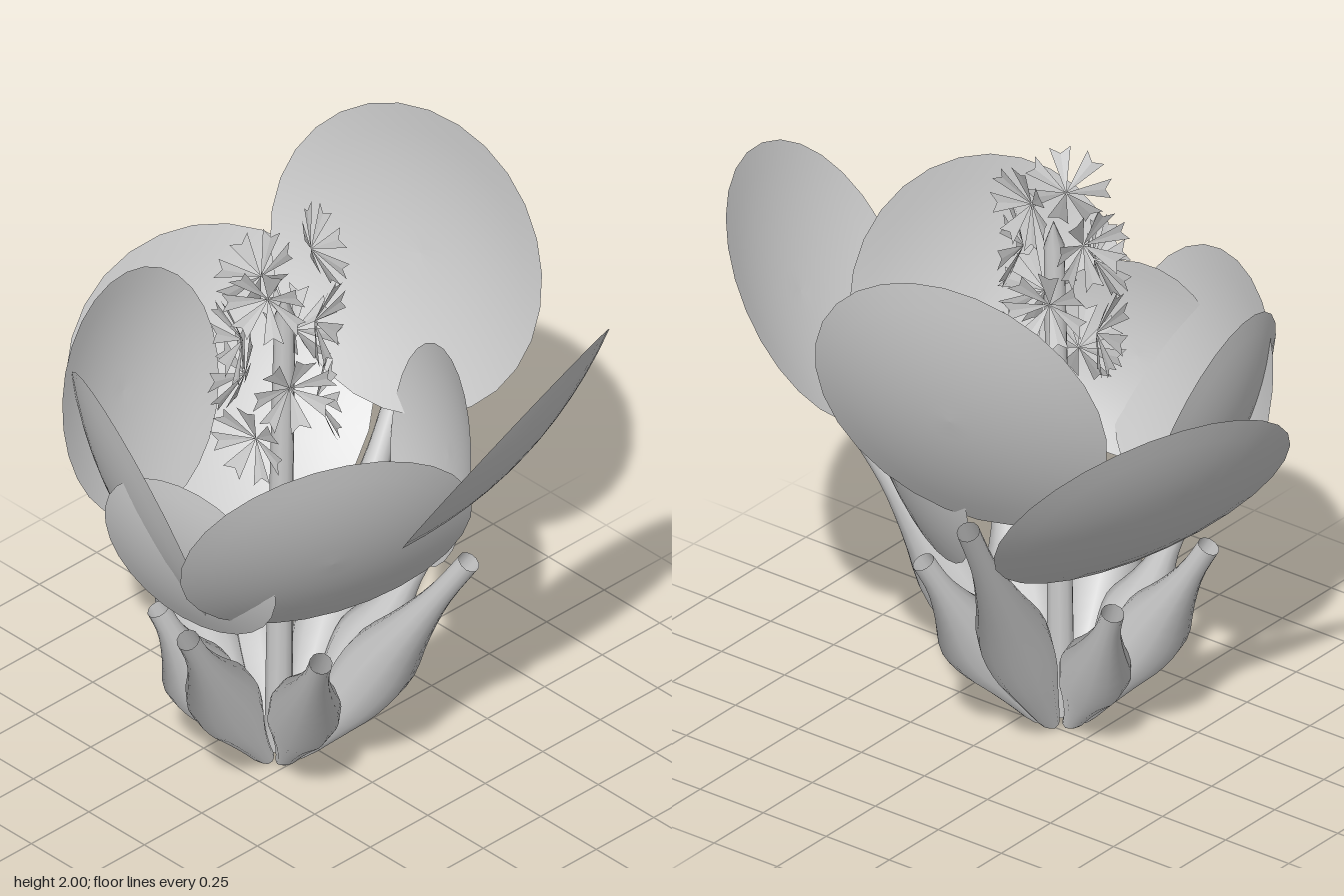
import * as THREE from 'three';

const V = (x, y, z) => new THREE.Vector3(x, y, z);
const CX = -0.09, CZ = 0.08; // plant axis

// Tube along a curve whose rings are resized by a radius rule
function taperedTube(curve, rings, sides, radiusAt) {
  const geo = new THREE.TubeGeometry(curve, rings, 1, sides, false);
  const pos = geo.attributes.position;
  const p = V(0, 0, 0);
  for (let i = 0; i <= rings; i++) {
    const t = i / rings;
    const c = curve.getPointAt(t);
    for (let j = 0; j <= sides; j++) {
      const k = i * (sides + 1) + j;
      p.fromBufferAttribute(pos, k).sub(c).multiplyScalar(radiusAt(t)).add(c);
      pos.setXYZ(k, p.x, Math.max(0, p.y), p.z);
    }
  }
  return geo;
}

// Bulb-shaped radius along a leaf stalk
const bulb = new THREE.SplineCurve(
  [[0, 0.03], [0.14, 0.048], [0.28, 0.075], [0.42, 0.106], [0.56, 0.113], [0.7, 0.072], [0.85, 0.042], [1, 0.037]]
    .map(([t, r]) => new THREE.Vector2(t, r))
);

// Shallow round bowl opening along +y, rim at y = 0
function bowlGeometry(radius) {
  const depth = 0.17 * radius;
  const profile = [];
  for (let i = 0; i <= 6; i++) {
    const f = i / 6;
    profile.push(new THREE.Vector2(radius * f, depth * (f * f - 1)));
  }
  return new THREE.LatheGeometry(profile, 28);
}

// One floret: seven swallow-tailed petals flaring into a funnel along +z
function floretGeometry() {
  const pts = [];
  const petals = 7;
  for (let i = 0; i < petals; i++) {
    const at = (r, da, z) => {
      const a = (i / petals) * Math.PI * 2 + da;
      return [Math.sin(a) * r, Math.cos(a) * r, z];
    };
    const base = [0, 0, 0];
    const left = at(0.14, -0.25, 0.055);
    const notch = at(0.118, 0, 0.045);
    const right = at(0.14, 0.25, 0.055);
    pts.push(...base, ...notch, ...left, ...base, ...right, ...notch);
  }
  const geo = new THREE.BufferGeometry();
  geo.setAttribute('position', new THREE.Float32BufferAttribute(pts, 3));
  geo.computeVertexNormals();
  return geo;
}

export function createModel() {
  const model = new THREE.Group();
  model.name = 'plant';
  const grey = new THREE.MeshStandardMaterial({ color: 0xcccccc, side: THREE.DoubleSide });
  grey.name = 'light grey';

  const add = (parent, name, geo) => {
    const mesh = new THREE.Mesh(geo, grey);
    mesh.name = name;
    parent.add(mesh);
    return mesh;
  };

  // Round cupped leaves: rim centre, facing direction, radius
  const leaves = new THREE.Group();
  leaves.name = 'leaves';
  model.add(leaves);
  [
    [V(-0.235, 1.455, -0.615), V(0.2, 0.28, 0.94), 0.505],
    [V(0.645, 1.415, -0.2), V(-0.8, 0.55, 0.24), 0.474],
    [V(0.41, 1.17, 0.355), V(-0.81, 0.43, -0.4), 0.476],
    [V(-0.29, 1.065, 0.495), V(0.36, 0.33, -0.87), 0.44],
    [V(-0.597, 1.155, 0.19), V(0.945, 0.27, -0.18), 0.397],
    [V(-0.59, 1.025, -0.15), V(0.74, 0.6, 0.31), 0.505],
    [V(0.015, 1.02, 0.565), V(-0.2, 0.22, -0.95), 0.32],
    [V(0.14, 1.02, -0.36), V(-0.43, 0.2, 0.87), 0.352],
  ].forEach(([centre, facing, radius]) => {
    const leaf = add(leaves, 'leaf', bowlGeometry(radius));
    leaf.position.copy(centre);
    leaf.quaternion.setFromUnitVectors(V(0, 1, 0), facing.normalize());
  });

  // Swollen leaf stalks fanning out from the base: tip positions
  const stalks = new THREE.Group();
  stalks.name = 'leafStalks';
  model.add(stalks);
  [
    V(-0.22, 0.97, -0.56), V(0.53, 0.91, -0.15), V(0.13, 0.65, -0.34), V(0.35, 0.66, 0.32),
    V(0.02, 0.71, 0.58), V(-0.29, 0.59, 0.41), V(-0.59, 0.72, 0.19), V(-0.42, 0.54, -0.08),
  ].forEach((tip) => {
    const out = V(tip.x - CX, 0, tip.z - CZ);
    const dir = out.clone().normalize();
    const at = (f, y) => V(CX + dir.x * 0.075 + out.x * f, y * tip.y, CZ + dir.z * 0.075 + out.z * f);
    const curve = new THREE.CatmullRomCurve3([at(0, 0.01), at(0.24, 0.27), at(0.5, 0.57), tip]);
    // Taller stalks swell lower down and have a longer neck
    const lift = Math.min(1, 0.72 / tip.y);
    add(stalks, 'leafStalk', taperedTube(curve, 18, 12, (t) => bulb.getPoint(t ** lift).y));
  });

  // Flower stem with a closed end
  const stemCurve = new THREE.CatmullRomCurve3([V(CX, 0.01, CZ), V(-0.08, 0.8, CZ), V(-0.06, 1.75, CZ)]);
  add(model, 'flowerStem', taperedTube(stemCurve, 20, 10, (t) => (t < 1 ? 0.045 - 0.012 * t : 0)));

  // Florets spiralling down around the top of the stem
  const cluster = new THREE.Group();
  cluster.name = 'flowerCluster';
  model.add(cluster);
  const floret = floretGeometry();
  for (let i = 0; i < 10; i++) {
    const a = THREE.MathUtils.degToRad(168 - 137.5 * i);
    const mesh = add(cluster, 'floret', floret);
    mesh.position.set(CX + Math.sin(a) * 0.12, 1.862 - 0.068 * i, CZ + Math.cos(a) * 0.12);
    mesh.rotation.set(0, a, i * 0.7, 'YXZ');
  }

  return model;
}
